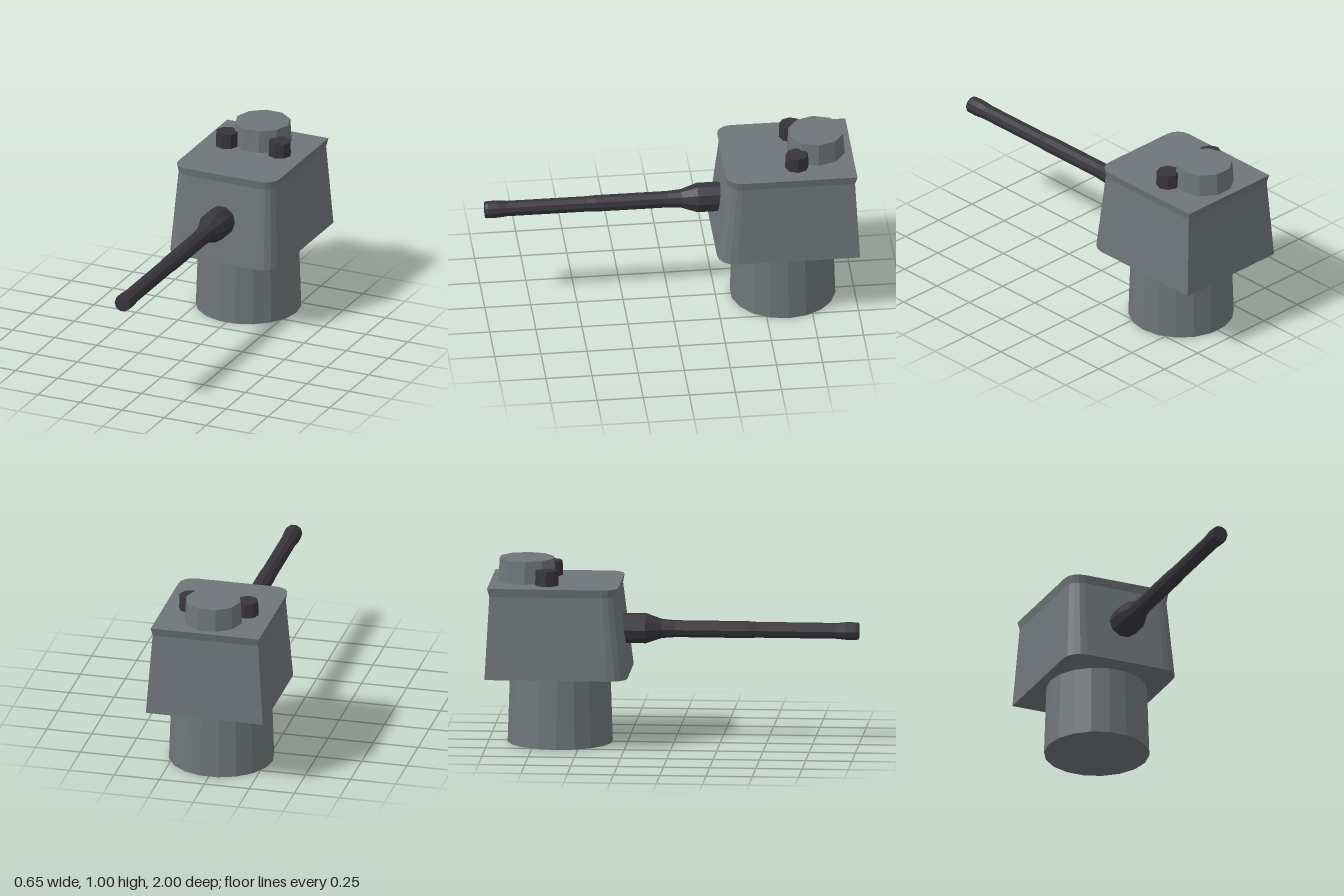
import * as THREE from 'three';

const steel = new THREE.MeshStandardMaterial({ color: 0x6e7578, flatShading: true });
steel.name = 'grey steel';
const dark = new THREE.MeshStandardMaterial({ color: 0x37353a, flatShading: true });
dark.name = 'dark gunmetal';

// Horizontal outline: square back corners, rounded front corners
function outline({ y, hw, front, back, r }) {
  const pts = [new THREE.Vector3(hw, y, back), new THREE.Vector3(-hw, y, back)];
  const steps = 4;
  for (const side of [-1, 1]) {
    for (let i = 0; i <= steps; i++) {
      const t = ((side < 0 ? i : steps - i) / steps) * Math.PI / 2;
      pts.push(new THREE.Vector3(
        side * (hw - r + r * Math.cos(t)), y, front - r + r * Math.sin(t)));
    }
  }
  return pts;
}

// Skin stacked outlines and cap both ends
function loft(sections) {
  const rings = sections.map(outline);
  const n = rings[0].length;
  const tris = [];
  for (let k = 0; k < rings.length - 1; k++) {
    const a = rings[k], b = rings[k + 1];
    for (let i = 0; i < n; i++) {
      const j = (i + 1) % n;
      tris.push(a[i], a[j], b[j], a[i], b[j], b[i]);
    }
  }
  const bottom = rings[0], top = rings[rings.length - 1];
  for (let i = 1; i < n - 1; i++) {
    tris.push(top[0], top[i], top[i + 1], bottom[0], bottom[i + 1], bottom[i]);
  }
  const geo = new THREE.BufferGeometry().setFromPoints(tris);
  geo.computeVertexNormals();
  return geo;
}

export function createModel() {
  const group = new THREE.Group();

  function add(name, geo, mat, x, y, z) {
    const mesh = new THREE.Mesh(geo, mat);
    mesh.name = name;
    mesh.position.set(x, y, z);
    group.add(mesh);
    return mesh;
  }

  // Upright faceted drum standing on y0
  function drum(name, mat, rTop, rBottom, y0, y1, sides, start, x, z) {
    const geo = new THREE.CylinderGeometry(rTop, rBottom, y1 - y0, sides, 1, false, start);
    return add(name, geo, mat, x, (y0 + y1) / 2, z);
  }

  // Pedestal
  drum('pedestal', steel, 0.272, 0.285, 0, 0.386, 18, Math.PI / 18, 0, -0.615);

  // Turret housing with a flared top rim
  add('housing', loft([
    { y: 0.385, hw: 0.325, front: -0.235, back: -1.0, r: 0.1 },
    { y: 0.835, hw: 0.293, front: -0.292, back: -0.976, r: 0.075 },
    { y: 0.88, hw: 0.301, front: -0.284, back: -0.988, r: 0.08 },
  ]), steel, 0, 0, 0);

  // Roof hatch and two small knobs
  drum('hatch', steel, 0.151, 0.16, 0.875, 1.003, 10, Math.PI / 10, 0, -0.795);
  for (const side of [-1, 1]) {
    drum(side > 0 ? 'leftKnob' : 'rightKnob', dark, 0.061, 0.064, 0.875, 0.96, 8, 0,
      side * 0.157, -0.675);
  }

  // Barrel with thick sleeve, taper and slightly swollen muzzle
  const profile = [
    [0, -0.32], [0.082, -0.32], [0.082, -0.15], [0.052, -0.065], [0.046, 0.01],
    [0.046, 0.4], [0.043, 0.45], [0.043, 0.88], [0.048, 0.93], [0.048, 0.985],
    [0.045, 1.0], [0, 1.0],
  ].map(([r, z]) => new THREE.Vector2(r, z));
  const barrel = add('barrel', new THREE.LatheGeometry(profile, 10, Math.PI / 10), dark, 0, 0.622, 0);
  barrel.rotation.x = Math.PI / 2;

  return group;
}
